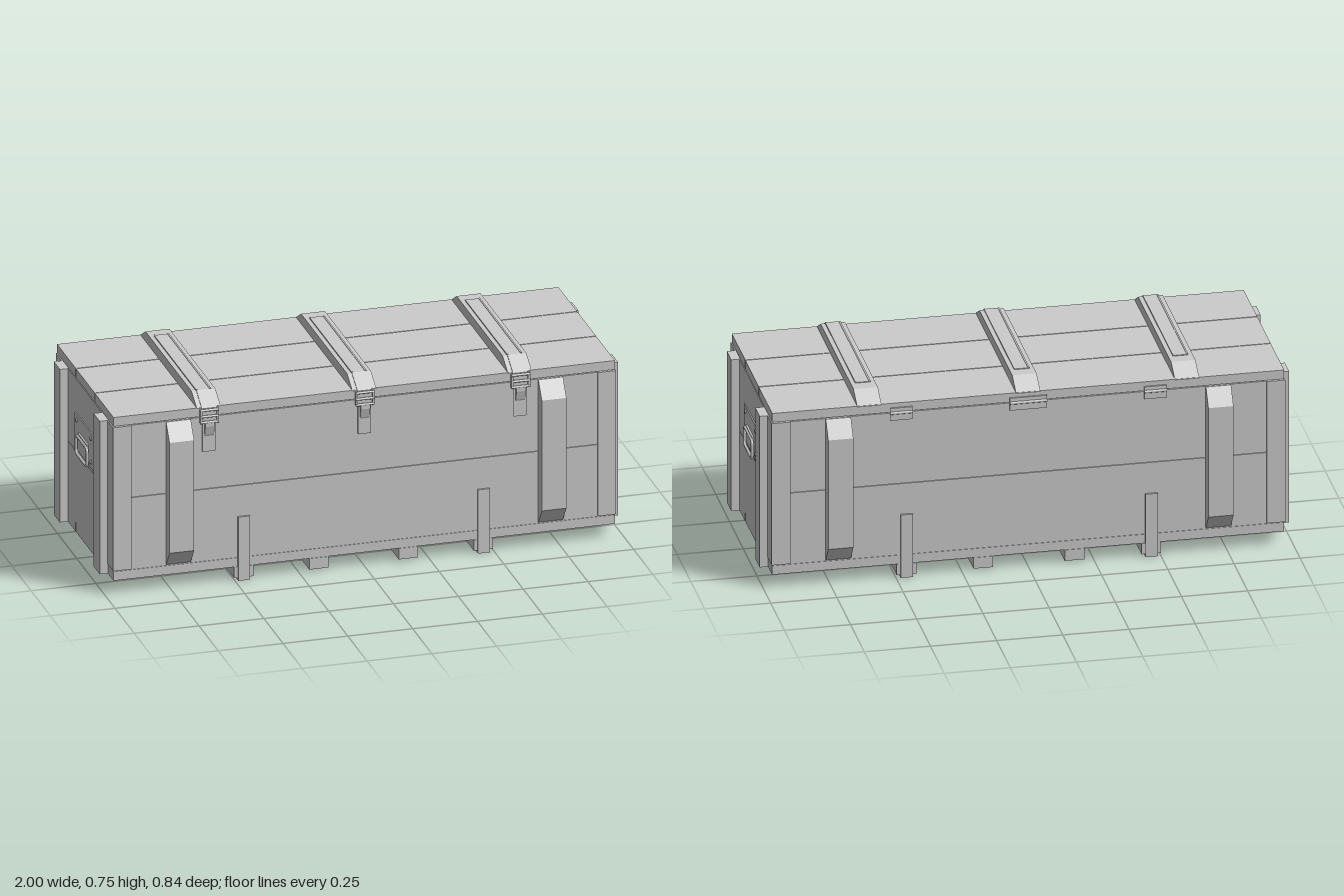
import * as THREE from 'three';

const grey = new THREE.MeshStandardMaterial({ color: 0xcccccc });
grey.name = 'plain grey';

export function createModel() {
  const root = new THREE.Group();
  root.name = 'crate';

  const add = (name, geometry, parent = root) => {
    const mesh = new THREE.Mesh(geometry, grey);
    mesh.name = name;
    parent.add(mesh);
    return mesh;
  };
  // Box given by its limits on each axis
  const box = (name, x0, x1, y0, y1, z0, z1, parent) => {
    const g = new THREE.BoxGeometry(x1 - x0, y1 - y0, z1 - z0);
    g.translate((x0 + x1) / 2, (y0 + y1) / 2, (z0 + z1) / 2);
    return add(name, g, parent);
  };
  // Profile of [z, y] points extruded along x, centred on cx
  const prism = (name, points, width, cx, parent) => {
    const shape = new THREE.Shape(points.map(([z, y]) => new THREE.Vector2(z, y)));
    const g = new THREE.ExtrudeGeometry(shape, { depth: width, bevelEnabled: false });
    g.translate(0, 0, -width / 2).rotateY(-Math.PI / 2).translate(cx, 0, 0);
    return add(name, g, parent);
  };

  // Inner core closes the narrow gaps between planks
  box('core', -0.95, 0.95, 0.06, 0.70, -0.35, 0.35);

  // Lid and floor: three planks each
  const gap = 0.002;
  for (const [z0, z1] of [[-0.37, -0.123], [-0.123, 0.123], [0.123, 0.37]]) {
    box('lidPlank', -0.967, 0.967, 0.672, 0.708, z0 + gap, z1 - gap);
    box('floorPlank', -0.967, 0.967, 0.054, 0.09, z0 + gap, z1 - gap);
  }

  // Side and end walls: two planks high
  for (const [y0, y1] of [[0.09, 0.38], [0.38, 0.67]]) {
    for (const s of [-1, 1]) {
      const z = [s * 0.34, s * 0.368].sort((a, b) => a - b);
      box('sidePlank', -0.965, 0.965, y0 + 0.001, y1 - 0.001, z[0], z[1]);
      const x = [s * 0.94, s * 0.968].sort((a, b) => a - b);
      box('endPlank', x[0], x[1], y0 + 0.001, y1 - 0.001, -0.36, 0.36);
    }
  }

  // Corner boards, end posts and bevelled side cleats
  for (const sx of [-1, 1]) {
    for (const sz of [-1, 1]) {
      const corner = new THREE.Group();
      corner.name = 'cornerParts';
      root.add(corner);
      const mid = (name, w, h, d, x, y, z) =>
        add(name, new THREE.BoxGeometry(w, h, d).translate(sx * x, y, sz * z), corner);
      mid('cornerBoard', 0.07, 0.575, 0.074, 0.935, 0.382, 0.337);
      mid('endPost', 0.032, 0.613, 0.08, 0.984, 0.363, 0.26);
      prism('sideCleat', [[0.365, 0.097], [0.373, 0.097], [0.418, 0.16], [0.418, 0.602],
        [0.373, 0.668], [0.365, 0.668]].map(([z, y]) => [z * sz, y]), 0.095, sx * 0.718, corner);
    }
  }

  // Runners under the floor, the outer two held by metal straps
  for (const x of [-0.465, -0.175, 0.17, 0.46]) {
    box('runner', x - 0.037, x + 0.037, 0.01, 0.054, -0.37, 0.37);
    if (Math.abs(x) > 0.3) {
      prism('runnerStrap', [[-0.376, 0], [0.376, 0], [0.376, 0.255], [0.366, 0.255],
        [0.366, 0.01], [-0.366, 0.01], [-0.366, 0.255], [-0.376, 0.255]], 0.046, x);
    }
  }

  // Lid battens with metal strap and front latch
  for (const x of [-0.6, 0, 0.6]) {
    const latch = new THREE.Group();
    latch.name = 'lidBattenAndLatch';
    root.add(latch);
    prism('lidBatten', [[-0.37, 0.706], [0.37, 0.706], [0.30, 0.748], [-0.30, 0.748]], 0.092, x, latch);
    prism('lidStrap', [[-0.25, 0.746], [0.298, 0.746], [0.37, 0.700], [0.37, 0.65], [0.376, 0.65],
      [0.376, 0.706], [0.302, 0.751], [-0.25, 0.751]], 0.056, x, latch);
    for (const s of [-1, 1]) {
      box('strapRim', x + s * 0.026 - 0.003, x + s * 0.026 + 0.003, 0.746, 0.753, -0.25, 0.30, latch);
      box('buckleSide', x + s * 0.032 - 0.004, x + s * 0.032 + 0.004, 0.65, 0.702, 0.366, 0.384, latch);
    }
    for (const y of [0.652, 0.675, 0.70]) {
      const bar = new THREE.CylinderGeometry(0.005, 0.005, 0.07, 10);
      add('buckleBar', bar.rotateZ(Math.PI / 2).translate(x, y, 0.381), latch);
    }
    box('latchPlate', x - 0.025, x + 0.025, 0.532, 0.652, 0.364, 0.374, latch);
    prism('latchHook', [[0.372, 0.59], [0.377, 0.60], [0.386, 0.635], [0.386, 0.65], [0.372, 0.65]],
      0.036, x, latch);
  }

  // Rear hinges, the middle one wider
  for (const [x, w] of [[-0.48, 0.085], [0, 0.14], [0.48, 0.085]]) {
    box('hingeLeaf', x - w / 2, x + w / 2, 0.64, 0.69, -0.374, -0.366);
    const pin = new THREE.CylinderGeometry(0.006, 0.006, w, 10);
    add('hingePin', pin.rotateZ(Math.PI / 2).translate(x, 0.67, -0.373));
  }

  // Carrying handle, plate and rivets on both ends
  const ring = new THREE.CurvePath();
  const hw = 0.072, y0 = 0.393, y1 = 0.466, r = 0.018;
  const v = (z, y) => new THREE.Vector3(0.981, y, z);
  const corners = [[-hw, y0], [hw, y0], [hw, y1], [-hw, y1]];
  corners.forEach((c, i) => {
    const p = corners[(i + 3) % 4], n = corners[(i + 1) % 4];
    const toward = (a, b, d) => {
      const l = Math.hypot(b[0] - a[0], b[1] - a[1]);
      return v(a[0] + (b[0] - a[0]) * d / l, a[1] + (b[1] - a[1]) * d / l);
    };
    ring.add(new THREE.QuadraticBezierCurve3(toward(c, p, r), v(...c), toward(c, n, r)));
    ring.add(new THREE.LineCurve3(toward(c, n, r), toward(n, c, r)));
  });
  for (const turn of [0, Math.PI]) {
    const handle = new THREE.Group();
    handle.name = 'carryingHandle';
    handle.rotation.y = turn;
    root.add(handle);
    box('handlePlate', 0.965, 0.972, 0.395, 0.535, -0.122, 0.122, handle);
    add('handleRing', new THREE.TubeGeometry(ring, 64, 0.006, 8, true), handle);
    box('handleClip', 0.97, 0.979, 0.455, 0.476, -0.06, 0.06, handle);
    for (const z of [-0.093, 0.093]) {
      for (const y of [0.42, 0.514]) {
        const rivet = new THREE.CylinderGeometry(0.006, 0.009, 0.006, 10);
        add('rivet', rivet.rotateZ(-Math.PI / 2).translate(0.974, y, z), handle);
      }
    }
  }

  return root;
}
